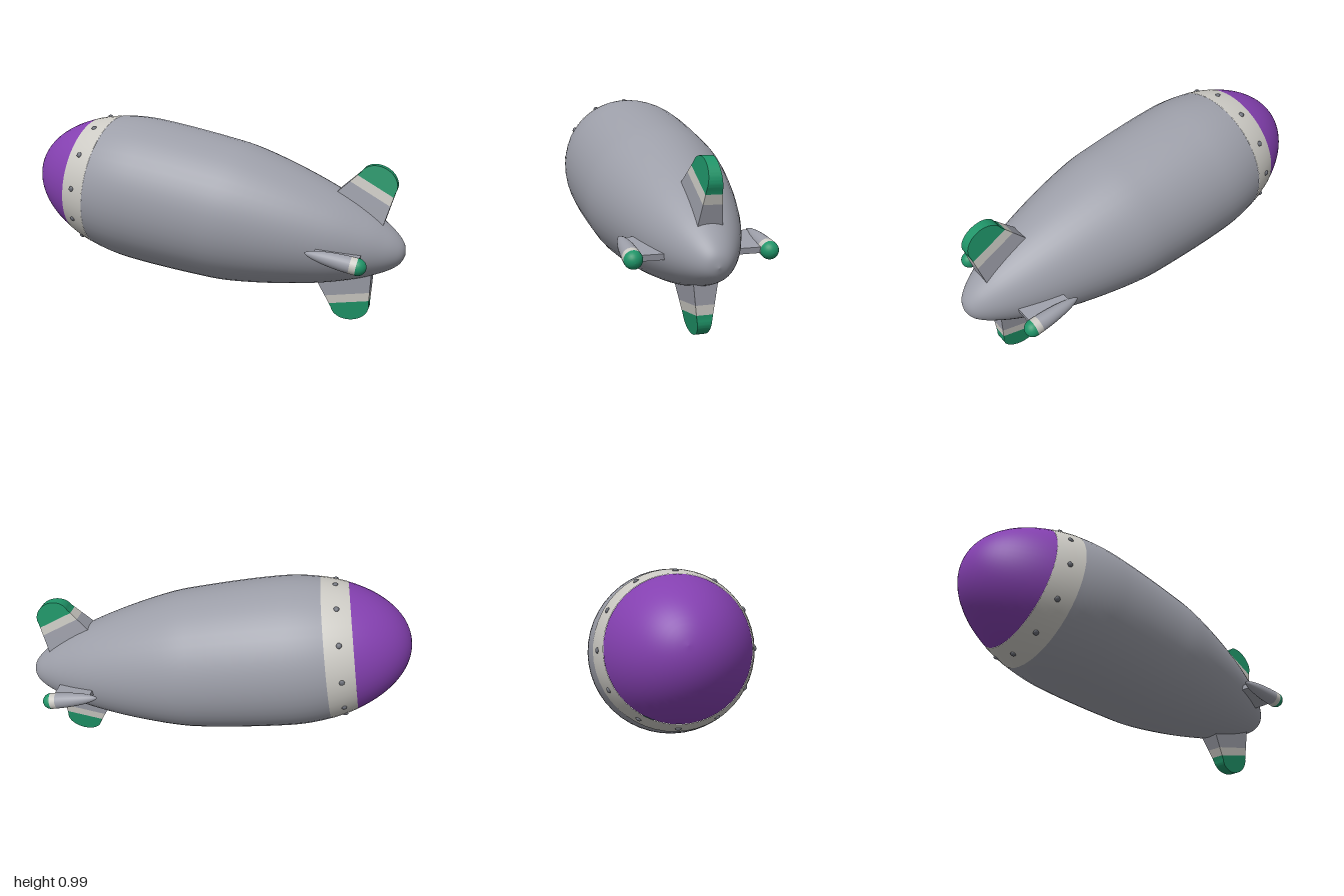
import * as THREE from 'three';
import { toCreasedNormals } from 'three/addons/utils/BufferGeometryUtils.js';

const mat = (color) => new THREE.MeshStandardMaterial({ color });
const V2 = (x, y) => new THREE.Vector2(x, y);

export function createModel() {
  const hullGrey = mat(0x9c9ea8), pale = mat(0xcccac4), purple = mat(0x8440b0);
  const green = mat(0x1f9468), dark = mat(0x6c6f78);

  // Everything is built along a straight hull axis (+x = tail), then tilted
  const ship = new THREE.Group();
  ship.name = 'airship';
  ship.position.y = 0.573;
  ship.rotation.z = -THREE.MathUtils.degToRad(9.65);

  const add = (parent, name, geometry, material) => {
    const mesh = new THREE.Mesh(geometry, material);
    mesh.name = name;
    parent.add(mesh);
    return mesh;
  };

  // Surface of revolution about x from a radius rule
  const revolve = (radius, t0, t1, steps, sides) => {
    const pts = [];
    for (let i = 0; i <= steps; i++) {
      // cosine spacing keeps the rounded ends fine
      const t = t0 + (t1 - t0) * (1 - Math.cos((Math.PI * i) / steps)) / 2;
      pts.push(V2(radius(t), t));
    }
    return new THREE.LatheGeometry(pts, sides).rotateZ(-Math.PI / 2);
  };

  // Hull: half-ellipse nose, long tapering tail
  const MID = -0.37, NOSE = -1.01, R = 0.385;
  const noseRadius = (t) => R * Math.sqrt(Math.max(0, 1 - ((t - MID) / (MID - NOSE)) ** 2));
  add(ship, 'noseCap', revolve(noseRadius, NOSE, -0.725, 20, 48), purple);
  add(ship, 'noseBand', revolve((t) => noseRadius(t) + 0.001, -0.725, -0.59, 8, 48), pale);

  const tail = new THREE.SplineCurve([
    V2(R, MID), V2(0.383, -0.22), V2(0.373, 0), V2(0.357, 0.18), V2(0.306, 0.42),
    V2(0.242, 0.64), V2(0.178, 0.8), V2(0.125, 0.9), V2(0.083, 0.96), V2(0.045, 0.993), V2(0, 1.006),
  ]);
  const hullPts = [];
  for (let i = 0; i < 8; i++) {
    const t = -0.59 + (MID + 0.59) * (i / 8);
    hullPts.push(V2(noseRadius(t), t));
  }
  hullPts.push(...tail.getPoints(50).map((p) => V2(Math.max(0, p.x), p.y)));
  add(ship, 'hull', new THREE.LatheGeometry(hullPts, 48).rotateZ(-Math.PI / 2), hullGrey);

  // Ring of rivets around the band
  for (let i = 0; i < 12; i++) {
    const a = (i * Math.PI) / 6;
    const rivet = add(ship, 'rivet', new THREE.SphereGeometry(0.014, 10, 8), dark);
    const r = noseRadius(-0.66) + 0.001;
    rivet.position.set(-0.66, r * Math.cos(a), r * Math.sin(a));
    rivet.scale.y = 0.6;
    rivet.rotation.x = a;
  }

  // Swept fins: three colour bands, narrowing and thinning towards a round tip
  const lead = (u) => 0.498 + (u - 0.418) * 0.314;
  const trail = (u) => 0.777 - (u - 0.418) * 0.234;
  const finBand = (u0, u1, tipHeight) => {
    const s = new THREE.Shape();
    s.moveTo(lead(u0), u0);
    s.lineTo(trail(u0), u0);
    s.lineTo(trail(u1), u1);
    if (tipHeight) {
      const c = (lead(u1) + trail(u1)) / 2, w = (trail(u1) - lead(u1)) / 2;
      s.absellipse(c, u1, w, tipHeight, 0, Math.PI, false, 0);
    } else s.lineTo(lead(u1), u1);
    s.closePath();
    const g = new THREE.ExtrudeGeometry(s, { depth: 2, bevelEnabled: false, curveSegments: 20 });
    g.translate(0, 0, -1);
    const p = g.attributes.position;
    for (let i = 0; i < p.count; i++) {
      const half = 0.055 - (p.getY(i) - 0.418) * 0.125;
      p.setZ(i, p.getZ(i) * half);
    }
    g.rotateZ(-Math.PI / 9);
    return toCreasedNormals(g, 0.6);
  };
  for (const [name, turn] of [['upperFin', 0], ['lowerFin', Math.PI]]) {
    const fin = new THREE.Group();
    fin.name = name;
    fin.rotation.x = turn;
    add(fin, 'finBase', finBand(0.34, 0.514), hullGrey);
    add(fin, 'finStripe', finBand(0.514, 0.558), pale);
    add(fin, 'finTip', finBand(0.558, 0.58, 0.074), green);
    ship.add(fin);
  }

  // Side pods on flat struts
  const podRadius = (t) => {
    if (t > 0.818) return 0.041 * Math.sqrt(Math.max(0, 1 - ((t - 0.818) / 0.042) ** 2));
    return 0.041 * Math.pow(Math.max(0, 1 - ((0.818 - t) / 0.25) ** 2), 0.6);
  };
  for (const side of [1, -1]) {
    const pod = new THREE.Group();
    pod.name = side > 0 ? 'frontPod' : 'backPod';
    pod.position.set(0, -0.022, side * 0.305);
    add(pod, 'podBody', revolve(podRadius, 0.568, 0.785, 16, 24), hullGrey);
    add(pod, 'podStripe', revolve(podRadius, 0.785, 0.815, 4, 24), pale);
    add(pod, 'podTip', revolve(podRadius, 0.815, 0.86, 10, 24), green);
    const strut = add(pod, 'strut', new THREE.BoxGeometry(0.205, 0.028, 0.2), hullGrey);
    strut.position.set(0.71, 0, -side * 0.1);
    ship.add(pod);
  }

  const model = new THREE.Group();
  model.name = 'model';
  model.add(ship);
  return model;
}
